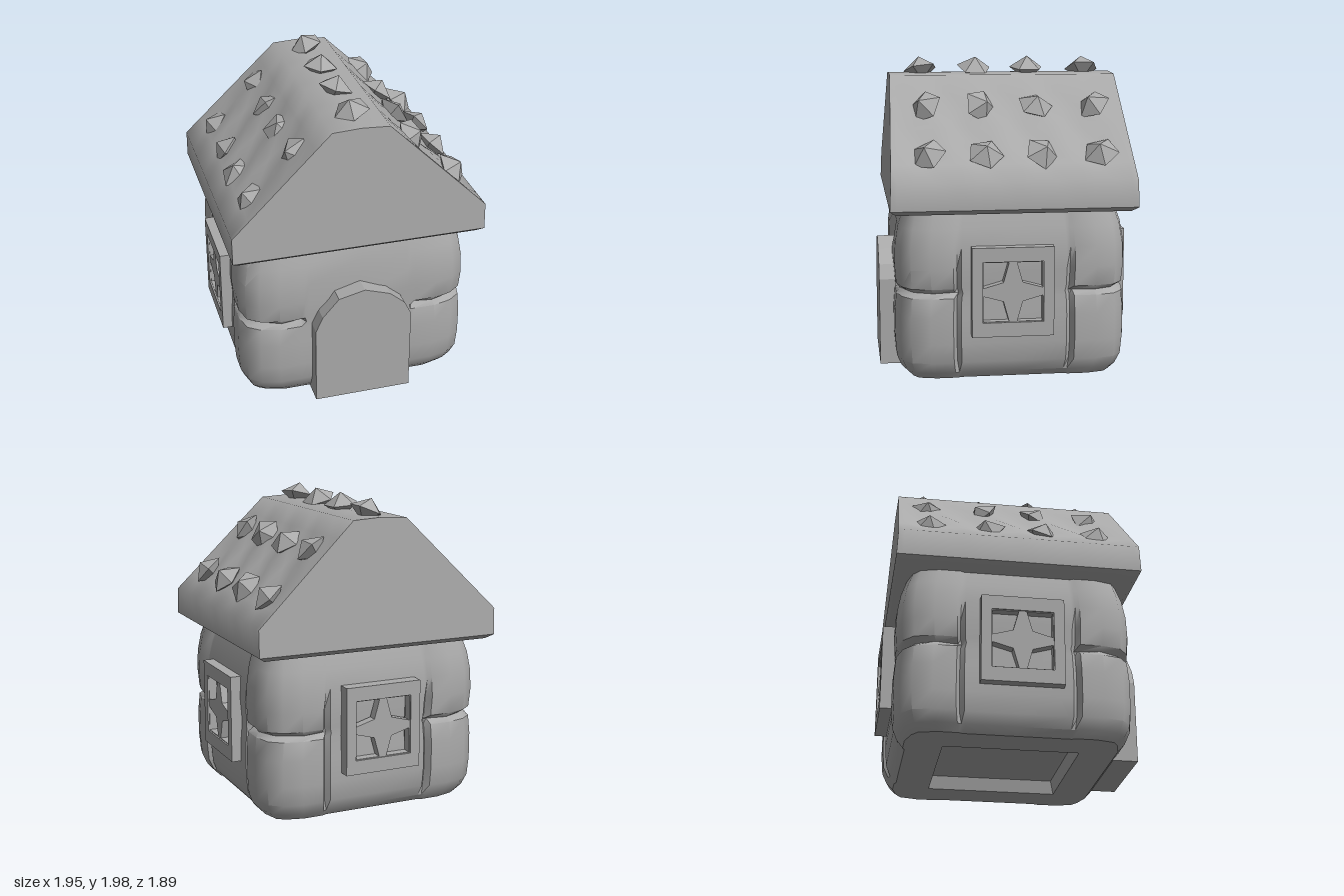
import * as THREE from 'three';
import { toCreasedNormals } from 'three/addons/utils/BufferGeometryUtils.js';

const stone = new THREE.MeshStandardMaterial({ color: 0xaaaaaa });
stone.name = 'plain grey';

function part(name, geometry, parent) {
  const mesh = new THREE.Mesh(geometry, stone);
  mesh.name = name;
  parent.add(mesh);
  return mesh;
}

// Skin over closed loops of [x, y, z] points, capped at both ends
function loft(rings, crease) {
  const n = rings[0].length;
  const pos = rings.flat(2);
  const index = [];
  for (let i = 0; i < rings.length - 1; i++) {
    for (let k = 0; k < n; k++) {
      const a = i * n + k, b = i * n + (k + 1) % n;
      index.push(a, b, b + n, a, b + n, a + n);
    }
  }
  const cap = (ring, start, flip) => {
    const c = pos.length / 3;
    for (let j = 0; j < 3; j++) pos.push(ring.reduce((s, p) => s + p[j], 0) / n);
    for (let k = 0; k < n; k++) {
      const a = start + k, b = start + (k + 1) % n;
      if (flip) index.push(c, b, a); else index.push(c, a, b);
    }
  };
  cap(rings[0], 0, true);
  cap(rings[rings.length - 1], (rings.length - 1) * n, false);
  const g = new THREE.BufferGeometry();
  g.setAttribute('position', new THREE.Float32BufferAttribute(pos, 3));
  g.setIndex(index);
  return toCreasedNormals(g, crease);
}

// Lumpy walls: two bulging courses at each corner, creased panels, hollowed underside
function wallsGeometry() {
  const steps = [-0.64, -0.52, -0.38, -0.355, -0.33, 0, 0.33, 0.355, 0.38, 0.52, 0.64];
  const ring = (y, distance) => {
    const points = [];
    for (let side = 0; side < 4; side++) {
      const a = side * Math.PI / 2; // 0 = left, 1 = back, 2 = right, 3 = front
      for (const s of steps) {
        const [out, t] = distance(s, side);
        points.push([Math.cos(a) * out - Math.sin(a) * t, y, -Math.sin(a) * out - Math.cos(a) * t]);
      }
    }
    return points;
  };
  const square = (y, h) => ring(y, (s) => [h, s / 0.64 * h]);
  // Height, inset of the whole ring, depth of the joint between the courses
  const levels = [[0.015, 0.08, 0], [0.06, 0.04, 0], [0.13, 0.01, 0], [0.25, 0, 0], [0.42, 0, 0], [0.54, 0.01, 0],
    [0.57, 0.01, 0.045], [0.6, 0.01, 0], [0.72, 0, 0], [0.85, 0.005, 0], [0.97, 0.025, 0], [1.09, 0.065, 0]];
  const bases = [0.75, 0.735, 0.75, 0.73];
  const rings = [square(0.2, 0.03), square(0.1, 0.4), square(0.015, 0.42)];
  for (const [y, inset, joint] of levels) {
    rings.push(ring(y, (s, side) => {
      const d = Math.abs(s);
      let out = bases[side] - inset - (d > 0.6 ? 0.03 : 0);
      if (d > 0.36) out -= joint * (d === 0.52 ? 0.5 : 1);
      if (side === 3) {
        if (s === 0 && y > 0.8 && y < 0.95) out -= 0.03;
      } else {
        if (d < 0.36) out -= 0.012;
        if (d === 0.355 && y > 0.1 && y < 0.8) out -= 0.035;
      }
      return [out, s * (1 - inset - joint * 0.5)];
    }));
  }
  return loft(rings, 0.7);
}

// Truncated gable roof with flat leaning ends and shallow dents in both slopes
function roofGeometry() {
  const half = [[0.765, 1.07], [0.81, 1.1], [0.81, 1.27]];
  for (let i = 1; i <= 6; i++) half.push([0.81 - 0.105 * i, 1.27 + 0.1017 * i]);
  const profile = [...half, [0, 1.89], ...half.slice().reverse().map(([x, y]) => [-x, y])];
  const stations = [-1, -0.95];
  for (let v = -0.8; v < 0.85; v += 0.16) stations.push(v);
  stations.push(0.95, 1);
  const rings = stations.map((v) => profile.map(([x, y]) => {
    const end = Math.abs(v) === 1;
    const yy = end ? Math.max(y, 1.1) : y;
    const xx = end && y < 1.1 ? Math.sign(x) * 0.81 : x;
    const reach = 0.765 - 0.035 * (yy - 1.1) / 0.78;
    const onSlope = y > 1.3 && y < 1.85 && Math.abs(v) < 0.9;
    const dent = onSlope ? 0.01 * (1 - Math.cos(v * 13 + x * 9)) * Math.sin((y - 1.27) / 0.61 * Math.PI) : 0;
    return [xx - Math.sign(x) * dent, yy - dent, v * reach];
  }));
  return loft(rings, 0.9);
}

// Arched slab door
function doorGeometry() {
  const s = new THREE.Shape([[-0.31, 0.02], [0.32, 0.02], [0.32, 0.58], [0.275, 0.67], [0.175, 0.755],
    [0.01, 0.81], [-0.16, 0.77], [-0.265, 0.65], [-0.31, 0.55]].map(([x, y]) => new THREE.Vector2(x, y)));
  return new THREE.ExtrudeGeometry(s, { depth: 0.16, bevelEnabled: false });
}

const rect = (Type, w, h) => new Type([[-w, -h], [w, -h], [w, h], [-w, h]].map(([x, y]) => new THREE.Vector2(x, y)));

// Window: square surround with a star-shaped cross set slightly back
function makeWindow() {
  const g = new THREE.Group();
  const surround = rect(THREE.Shape, 0.255, 0.28);
  surround.holes.push(rect(THREE.Path, 0.19, 0.19));
  part('windowFrame', new THREE.ExtrudeGeometry(surround, { depth: 0.13, bevelEnabled: false }), g);
  const cross = rect(THREE.Shape, 0.2, 0.2);
  for (const sx of [-1, 1]) {
    for (const sy of [-1, 1]) {
      cross.holes.push(new THREE.Path([[0.185, 0.185], [0.025, 0.185], [0.06, 0.06], [0.185, 0.025]]
        .map(([x, y]) => new THREE.Vector2(x * sx, y * sy))));
    }
  }
  part('windowCross', new THREE.ExtrudeGeometry(cross, { depth: 0.06, bevelEnabled: false }), g).position.z = 0.06;
  return g;
}

export function createModel() {
  const model = new THREE.Group();
  model.name = 'cottage';
  const house = new THREE.Group();
  house.name = 'house';
  house.rotation.y = 0.252; // the house stands turned on its base
  model.add(house);

  part('walls', wallsGeometry(), house);
  part('roof', roofGeometry(), house);
  part('door', doorGeometry(), house).position.z = 0.66;

  // One window on each side and one at the back
  [['leftWindow', Math.PI / 2], ['backWindow', Math.PI], ['rightWindow', -Math.PI / 2]].forEach(([name, turn]) => {
    const w = makeWindow();
    w.name = name;
    w.rotation.y = turn;
    w.position.set(Math.sin(turn) * 0.67, 0.585, Math.cos(turn) * 0.67 + (name === 'backWindow' ? 0 : 0.015));
    house.add(w);
  });

  // Faceted five-sided stones in rows along the ridge and both slopes
  const chip = new THREE.SphereGeometry(0.115, 5, 2).scale(1, 0.68, 1).toNonIndexed();
  chip.computeVertexNormals();
  const rows = [[0, 1.915, 0], [0.385, 1.695, -0.77], [0.665, 1.425, -0.77], [-0.36, 1.67, 0.77], [-0.64, 1.4, 0.77]];
  rows.forEach(([x, y, tilt], r) => {
    [-0.55, -0.18, 0.17, 0.52].forEach((z, i) => {
      const holder = new THREE.Group();
      holder.name = 'roofStoneHolder';
      holder.position.set(x, y, z);
      holder.rotation.z = tilt;
      house.add(holder);
      const rock = part('roofStone', chip, holder);
      rock.rotation.set(0.4 * Math.sin(2 * i + r), 1.3 * i + r, 0.4 * Math.cos(3 * i + r));
    });
  });
  return model;
}
